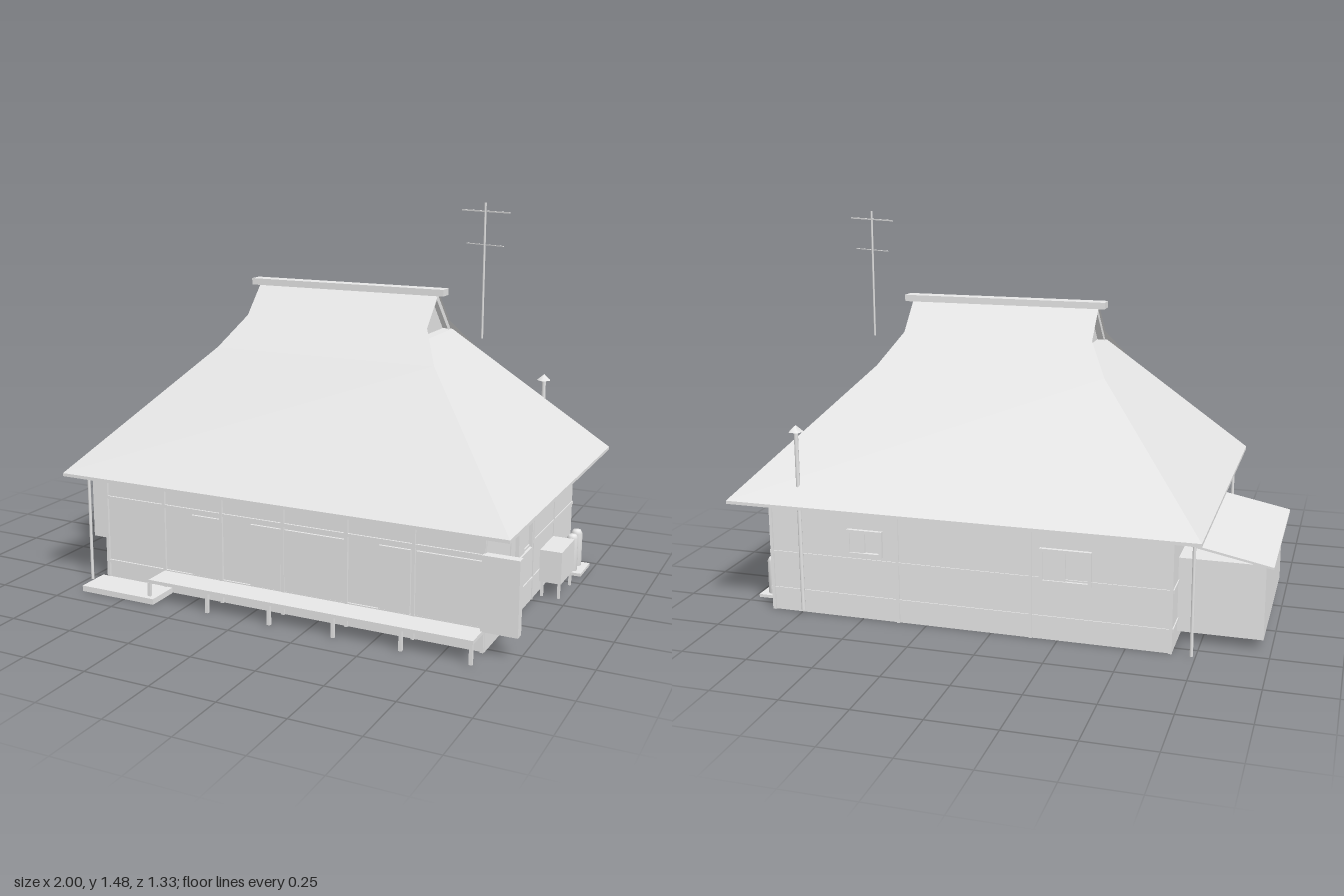
import * as THREE from 'three';

export function createModel() {
  const house = new THREE.Group();
  house.name = 'farmhouse';
  const grey = new THREE.MeshStandardMaterial({ color: 0xe6e6e6, side: THREE.DoubleSide });
  grey.name = 'plain pale grey';

  const add = (name, geo, x = 0, y = 0, z = 0) => {
    const m = new THREE.Mesh(geo, grey);
    m.name = name;
    m.position.set(x, y, z);
    house.add(m);
    return m;
  };
  // box given by its limits on each axis
  const box = (name, x0, x1, y0, y1, z0, z1) =>
    add(name, new THREE.BoxGeometry(x1 - x0, y1 - y0, z1 - z0), (x0 + x1) / 2, (y0 + y1) / 2, (z0 + z1) / 2);
  const rod = (name, r, x, y0, y1, z, sides = 8) =>
    add(name, new THREE.CylinderGeometry(r, r, y1 - y0, sides), x, (y0 + y1) / 2, z);
  // open rectangular ring of four boxes, t thick
  const ring = (name, x0, x1, y0, y1, z0, z1, t) => {
    box(name, x0, x1, y0, y1, z1 - t, z1);
    box(name, x0, x1, y0, y1, z0, z0 + t);
    box(name, x0, x0 + t, y0, y1, z0 + t, z1 - t);
    box(name, x1 - t, x1, y0, y1, z0 + t, z1 - t);
  };
  // flat polygons, each fanned from its first corner
  const faces = (name, polys, x = 0, y = 0, z = 0) => {
    const p = [];
    for (const poly of polys)
      for (let i = 1; i < poly.length - 1; i++) p.push(...poly[0], ...poly[i], ...poly[i + 1]);
    const g = new THREE.BufferGeometry();
    g.setAttribute('position', new THREE.Float32BufferAttribute(p, 3));
    g.computeVertexNormals();
    return add(name, g, x, y, z);
  };

  // body: thin walls rising into the roof, with a raised floor
  const L = -0.665, R = 0.875, F = 0.53, B = -0.55;
  ring('wall', L, R, 0, 0.555, B, F, 0.01);
  box('floor', L + 0.01, R - 0.01, 0.077, 0.087, B + 0.01, F - 0.01);
  const bays = [-0.66, -0.4, -0.15, 0.107, 0.36, 0.615, 0.867];
  bays.forEach((x, i) => {
    box('frontPost', x - 0.006, x + 0.006, 0, 0.44, F, F + 0.009);
    if (i % 2 === 0) box('backPost', x - 0.006, x + 0.006, 0, 0.44, B - 0.006, B);
  });
  for (const y of [0.085, 0.342, 0.435]) box('frontRail', L, R, y - 0.006, y + 0.006, F, F + 0.007);
  for (const y of [0.085, 0.23, 0.41]) {
    box('sideRail', R, R + 0.004, y - 0.006, y + 0.006, B, F);
    box('sideRail', L - 0.004, L, y - 0.006, y + 0.006, B, F);
    box('backRail', L, R, y - 0.006, y + 0.006, B - 0.004, B);
  }
  for (const z of [0.27, -0.01, -0.28]) {
    box('sidePost', R, R + 0.004, 0, 0.44, z - 0.005, z + 0.005);
    box('sidePost', L - 0.004, L, 0, 0.44, z - 0.005, z + 0.005);
  }

  // sliding doors along the front
  for (const [a, b] of [[-0.275, -0.155], [-0.025, 0.1], [0.115, 0.355], [0.485, 0.605], [0.625, 0.862]])
    box('slidingDoor', a, b, 0.092, 0.325, F, F + 0.009);

  // framed windows: four bars and one half-width sash
  const makeWindow = (w, h) => {
    const g = new THREE.Group();
    g.name = 'window';
    const bar = (n, bw, bh, x, y, d) => {
      const m = new THREE.Mesh(new THREE.BoxGeometry(bw, bh, d), grey);
      m.name = n;
      m.position.set(x, y, d / 2);
      g.add(m);
    };
    for (const s of [-1, 1]) {
      bar('windowFrame', w, 0.012, 0, s * (h / 2 - 0.006), 0.014);
      bar('windowFrame', 0.012, h, s * (w / 2 - 0.006), 0, 0.014);
    }
    bar('windowSash', w / 2 - 0.012, h - 0.02, -w / 4 + 0.006, 0, 0.008);
    house.add(g);
    return g;
  };
  const sideWindow = makeWindow(0.175, 0.135);
  sideWindow.position.set(R, 0.283, 0.126);
  sideWindow.rotation.y = Math.PI / 2;
  for (const [x, y, w, h] of [[0.486, 0.3, 0.14, 0.1], [-0.28, 0.283, 0.19, 0.13]]) {
    const win = makeWindow(w, h);
    win.position.set(x, y, B);
    win.rotation.y = Math.PI;
  }

  // roof: long slopes with flared ends, hipped ends and recessed gables
  const top = 1.14, eave = 0.453, depth = 0.655;
  const zAt = y => depth * (top - y) / (top - eave);
  const rows = [[eave, 0.8825], [0.905, 0.4475], [1.02, 0.375], [top, 0.375]];
  const cx = 0.108, cz = -0.005;
  for (const s of [1, -1]) {
    const slope = [], row = (i, e) => [e * rows[i][1], rows[i][0], s * zAt(rows[i][0])];
    for (let i = 0; i < 3; i++) {
      const q = [row(i, -1), row(i, 1), row(i + 1, 1), row(i + 1, -1)];
      slope.push(s > 0 ? q : q.reverse());
    }
    faces('longRoofSlope', slope, cx, 0, cz);

    const ly = 0.98, lx = 0.375, gx = 0.335;
    const hip = [[s * 0.8825, eave, s * depth], [s * 0.8825, eave, -s * depth],
      [s * lx, ly, -s * zAt(ly)], [s * lx, ly, s * zAt(ly)]];
    faces('hipRoofSlope', [hip], cx, 0, cz);
    const ledge = [[s * lx, ly, s * zAt(ly)], [s * lx, ly, -s * zAt(ly)],
      [s * gx, ly, -s * zAt(ly)], [s * gx, ly, s * zAt(ly)]];
    faces('gableLedge', [ledge], cx, 0, cz);
    faces('gableWall', [[[s * gx, ly, s * zAt(ly)], [s * gx, ly, -s * zAt(ly)], [s * gx, top, 0]]], cx, 0, cz);
    // barge boards under the slope edges
    for (const k of [1, -1]) {
      const b = [[s * 0.367, ly, k * zAt(ly)], [s * 0.367, top, 0], [s * 0.367, top - 0.03, 0],
        [s * 0.367, ly, k * (zAt(ly) - 0.027)]];
      faces('bargeBoard', [s * k > 0 ? b.reverse() : b], cx, 0, cz);
    }
  }
  ring('eaveTrim', -0.7745, 0.9905, 0.441, eave, -0.66, 0.65, 0.012);
  box('ridgeCap', -0.295, 0.51, 1.128, 1.153, -0.034, 0.022);

  // side annex with a lean-to roof
  box('annex', -0.972, L, 0.04, 0.318, -0.44, 0.205);
  const lean = new THREE.Shape([[-1, 0.312], [-0.665, 0.378], [-0.665, 0.387], [-1, 0.32]].map(p => new THREE.Vector2(...p)));
  add('annexRoof', new THREE.ExtrudeGeometry(lean, { depth: 0.685, bevelEnabled: false }), 0, 0, -0.46);
  box('annexRoofLedge', -0.68, L, 0.385, 0.415, -0.46, 0.225);
  for (const z of [0.543, -0.553]) rod('eavePost', 0.006, -0.735, 0, 0.445, z);

  // veranda, step and shutter box
  box('veranda', -0.4, 0.875, 0.074, 0.087, F, 0.648);
  for (const x of bays.slice(1)) box('verandaLeg', x - 0.006, x + 0.006, 0, 0.074, 0.636, 0.648);
  box('step', -0.69, -0.37, 0, 0.022, 0.535, 0.668);
  box('shutterBox', 0.868, 1, 0.085, 0.355, 0.525, 0.56);

  // outdoor unit on legs
  box('outdoorUnit', 0.89, 0.975, 0.06, 0.185, -0.228, -0.051);
  for (const x of [0.9, 0.965]) for (const z of [-0.061, -0.218])
    box('unitLeg', x - 0.005, x + 0.005, 0, 0.06, z - 0.004, z + 0.004);

  // gas bottles
  box('bottleStand', 0.885, 0.98, 0, 0.012, -0.462, -0.325);
  for (const z of [-0.359, -0.425]) {
    const pts = [[0, 0.01], [0.022, 0.01], [0.022, 0.145], [0.015, 0.158], [0, 0.161]];
    add('gasBottle', new THREE.LatheGeometry(pts.map(p => new THREE.Vector2(...p)), 16), 0.933, 0, z);
  }

  // stove pipe
  rod('stovePipe', 0.008, 0.725, 0.03, 0.725, -0.597);
  add('pipeCap', new THREE.ConeGeometry(0.03, 0.025, 5), 0.725, 0.732, -0.597);

  // aerial
  rod('aerialMast', 0.004, 0.655, 0.98, 1.475, -0.005, 6);
  for (const [y, len, t] of [[1.443, 0.225, 0.005], [1.323, 0.175, 0.003]]) {
    const bar = add('aerialBar', new THREE.BoxGeometry(len, t, t), 0.655, y, -0.007);
    bar.rotation.y = -0.38;
  }
  return house;
}
